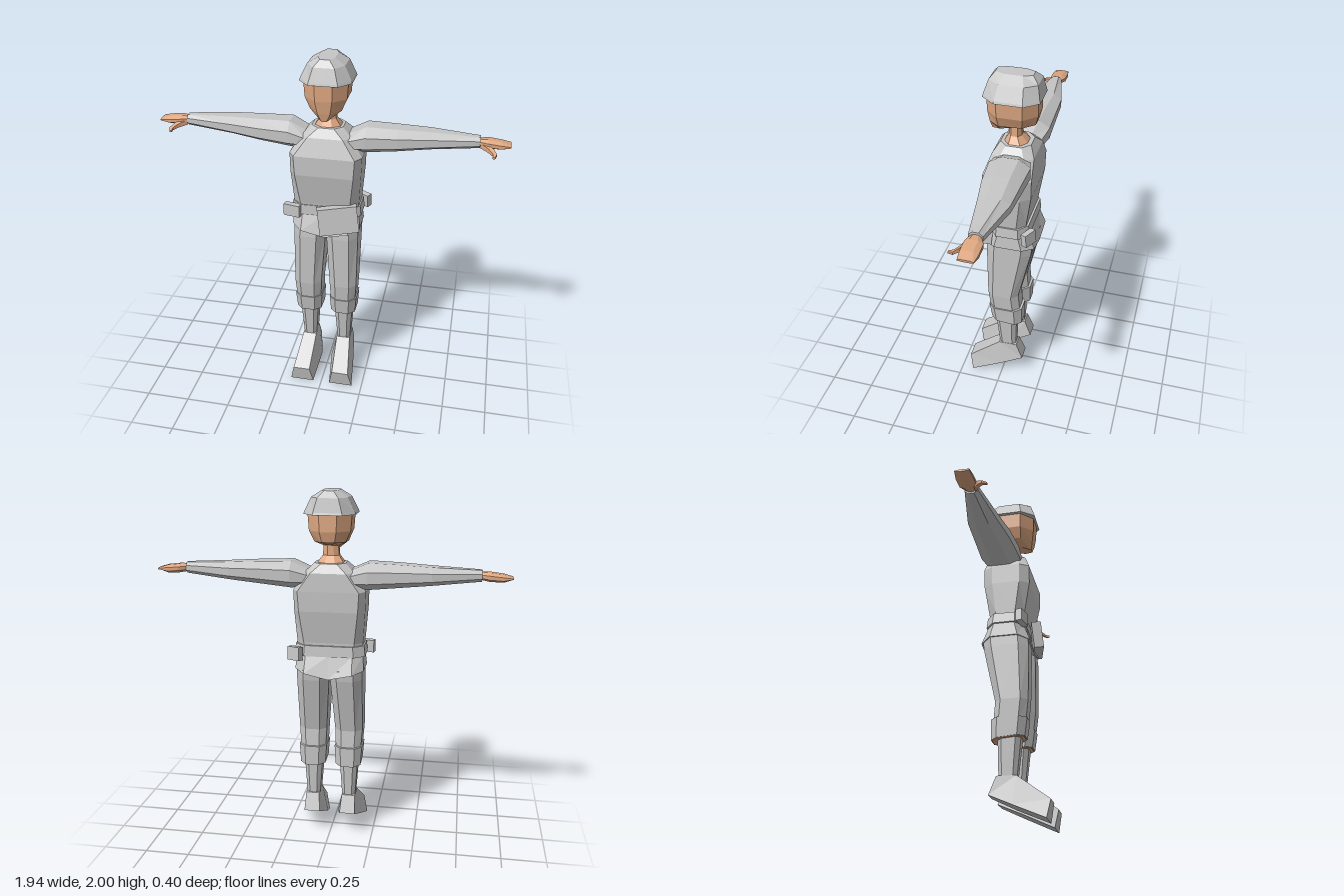
import * as THREE from 'three';

const cloth = new THREE.MeshStandardMaterial({ color: 0xc6c6c6 });
cloth.name = 'grey cloth';
const skin = new THREE.MeshStandardMaterial({ color: 0xdea781 });
skin.name = 'skin';

// Chamfered rectangle with front and back midpoints, as [u, v] pairs
function chamfered(u0, u1, v0, v1, cu, cv) {
  const m = (u0 + u1) / 2;
  return [[u0 + cu, v0], [m, v0], [u1 - cu, v0], [u1, v0 + cv], [u1, v1 - cv],
    [u1 - cu, v1], [m, v1], [u0 + cu, v1], [u0, v1 - cv], [u0, v0 + cv]];
}

// Horizontal ring; y may be a number or a rule of x and z
function ringY(y, x0, x1, zBack, zFront, cx = 0.3, cz = 0.25) {
  return chamfered(x0, x1, zBack, zFront, (x1 - x0) * cx, (zFront - zBack) * cz)
    .map(([x, z]) => [x, typeof y === 'function' ? y(x, z) : y, z]);
}

// Upright ring across the x axis
function ringX(x, y0, y1, zBack, zFront, c = 0.28) {
  return chamfered(zBack, zFront, y0, y1, (zFront - zBack) * c, (y1 - y0) * c)
    .map(([z, y]) => [x, y, z]);
}

// Faceted closed skin through equal-sized rings, turned to face outward
function loft(name, rings, material) {
  const n = rings[0].length, tris = [];
  for (let r = 0; r + 1 < rings.length; r++) {
    for (let i = 0; i < n; i++) {
      const j = (i + 1) % n, a = rings[r], b = rings[r + 1];
      tris.push([a[i], a[j], b[j]], [a[i], b[j], b[i]]);
    }
  }
  const centre = (ring) => [0, 1, 2].map((k) => ring.reduce((s, p) => s + p[k], 0) / n);
  const first = rings[0], last = rings[rings.length - 1];
  const c0 = centre(first), c1 = centre(last);
  for (let i = 0; i < n; i++) {
    const j = (i + 1) % n;
    tris.push([c0, first[j], first[i]], [c1, last[i], last[j]]);
  }
  const v = (p) => new THREE.Vector3(...p);
  const o = v(c0);
  const volume = tris.reduce((s, t) => {
    const [a, b, c] = t.map((p) => v(p).sub(o));
    return s + a.dot(b.cross(c));
  }, 0);
  if (volume < 0) tris.forEach((t) => t.reverse());
  const geo = new THREE.BufferGeometry();
  geo.setAttribute('position', new THREE.Float32BufferAttribute(tris.flat(2), 3));
  geo.computeVertexNormals();
  const mesh = new THREE.Mesh(geo, material);
  mesh.name = name;
  return mesh;
}

function box(name, size, position, rotation) {
  const mesh = new THREE.Mesh(new THREE.BoxGeometry(...size), cloth);
  mesh.name = name;
  mesh.position.set(...position);
  mesh.rotation.set(...rotation);
  return mesh;
}

// Arm and hand, s = 1 for the model's left and -1 for its right
function arm(s) {
  const group = new THREE.Group();
  group.name = s > 0 ? 'leftArm' : 'rightArm';
  group.add(loft('sleeve', [
    ringX(s * 0.11, 1.49, 1.58, -0.15, 0.045),
    ringX(s * 0.21, 1.48, 1.625, -0.175, 0.045),
    ringX(s * 0.38, 1.497, 1.62, -0.17, 0.03),
    ringX(s * 0.55, 1.515, 1.612, -0.165, 0.0),
    ringX(s * 0.81, 1.54, 1.6, -0.11, -0.04),
  ], cloth));
  group.add(loft('hand', [
    ringX(s * 0.8, 1.55, 1.588, -0.1, -0.05),
    ringX(s * 0.85, 1.542, 1.59, -0.125, -0.035),
    ringX(s * 0.92, 1.54, 1.582, -0.125, -0.035),
    ringX(s * 0.97, 1.556, 1.568, -0.118, -0.04),
  ], skin));
  // Thumb, curving forward and down
  const thumb = [[0.83, 1.552, -0.05, 0.018], [0.87, 1.54, -0.02, 0.014],
    [0.89, 1.53, 0.005, 0.01], [0.885, 1.525, 0.03, 0.006]];
  group.add(loft('thumb', thumb.map(([x, y, z, r]) => [
    [s * (x - r), y - r / 2, z], [s * (x + r), y - r / 2, z],
    [s * (x + r), y + r, z], [s * (x - r), y + r, z],
  ]), skin));
  return group;
}

// Trouser leg, cuff, lower leg and boot
function leg(s) {
  const group = new THREE.Group();
  group.name = s > 0 ? 'leftLeg' : 'rightLeg';
  const ring = (y, a, b, zb, zf, cx = 0.24, cz = 0.2) =>
    ringY(y, Math.min(s * a, s * b), Math.max(s * a, s * b), zb, zf, cx, cz);
  group.add(loft('trouserLeg', [
    ring(1.03, 0.0, 0.185, -0.175, 0.08),
    ring(0.97, 0.003, 0.185, -0.17, 0.086),
    ring(0.65, 0.025, 0.183, -0.1, 0.082),
    ring(0.53, 0.03, 0.175, -0.11, 0.068),
  ], cloth));
  group.add(loft('cuff', [
    ring(0.55, 0.024, 0.183, -0.122, 0.076),
    ring((x, z) => 0.445 + z * 0.08, 0.03, 0.176, -0.122, 0.062),
  ], cloth));
  group.add(loft('cuffLining', [
    ring((x, z) => 0.446 + z * 0.08, 0.034, 0.172, -0.117, 0.057),
    ring((x, z) => 0.442 + z * 0.08, 0.034, 0.172, -0.117, 0.057),
  ], skin));
  group.add(loft('lowerLeg', [
    ring(0.47, 0.05, 0.158, -0.088, 0.042),
    ring(0.22, 0.067, 0.142, -0.082, 0.016),
  ], cloth));
  // Boot sections from heel to toe: [yBottom, zBottom, x0, x1, yTop, zTop, x0, x1]
  const sections = [
    [0.14, -0.13, 0.06, 0.15, 0.24, -0.09, 0.068, 0.145],
    [0.08, 0.0, 0.03, 0.17, 0.238, 0.018, 0.065, 0.145],
    [0.0, 0.18, 0.05, 0.19, 0.1, 0.2, 0.07, 0.168],
  ];
  group.add(loft('boot', sections.map(([yb, zb, a, b, yt, zt, c, d]) => [
    [s * a, yb, zb], [s * b, yb, zb], [s * d, yt, zt], [s * c, yt, zt],
  ]), cloth));
  return group;
}

export function createModel() {
  const model = new THREE.Group();
  model.name = 'figure';
  const sym = (y, hx, zb, zf, cx, cz) => ringY(y, -hx, hx, zb, zf, cx, cz);

  // Head and neck
  model.add(loft('head', [
    sym((x, z) => 1.693 - z * 0.22, 0.036, -0.1, 0.08),
    sym((x, z) => 1.726 - z * 0.05, 0.085, -0.155, 0.09),
    sym(1.79, 0.113, -0.17, 0.1),
    sym(1.885, 0.12, -0.17, 0.102),
  ], skin));
  model.add(loft('neck', [
    sym(1.605, 0.08, -0.125, 0.02),
    sym(1.655, 0.045, -0.078, -0.008),
    sym(1.74, 0.038, -0.075, -0.008),
  ], skin));

  // Helmet
  model.add(loft('helmet', [
    sym(1.878, 0.14, -0.186, 0.115, 0.22),
    sym(1.89, 0.136, -0.182, 0.112, 0.22),
    sym(1.965, 0.1, -0.168, 0.088, 0.22),
    sym(2.0, 0.045, -0.135, 0.06, 0.22),
  ], cloth));

  // Torso
  model.add(loft('torso', [
    sym(1.1, 0.18, -0.14, 0.05, 0.14, 0.22),
    sym(1.18, 0.185, -0.14, 0.062, 0.12, 0.22),
    sym(1.36, 0.197, -0.168, 0.096, 0.09, 0.2),
    sym(1.47, 0.2, -0.17, 0.096, 0.08, 0.2),
    sym(1.57, 0.135, -0.165, 0.062, 0.14, 0.2),
    sym(1.618, 0.086, -0.135, 0.03, 0.25, 0.25),
  ], cloth));

  // Belt and the tunic hem below it
  model.add(loft('belt', [
    sym(1.105, 0.198, -0.158, 0.066, 0.15, 0.22),
    sym(1.165, 0.192, -0.152, 0.064, 0.15, 0.22),
  ], cloth));
  model.add(loft('hem', [
    sym(1.11, 0.186, -0.148, 0.055, 0.15, 0.22),
    sym((x) => 0.982 + Math.abs(x) * 0.22, 0.193, -0.187, 0.092, 0.15, 0.22),
  ], cloth));

  // Pouches on the belt
  model.add(box('frontPouch', [0.22, 0.155, 0.055], [0.08, 1.105, 0.09], [-0.12, 0.22, 0.13]));
  model.add(box('rightPouch', [0.095, 0.07, 0.035], [-0.187, 1.125, 0.058], [0, -0.2, 0]));
  model.add(box('backPouch', [0.08, 0.075, 0.035], [0.185, 1.122, -0.165], [0.1, -0.5, 0]));

  for (const s of [1, -1]) model.add(arm(s), leg(s));
  return model;
}
